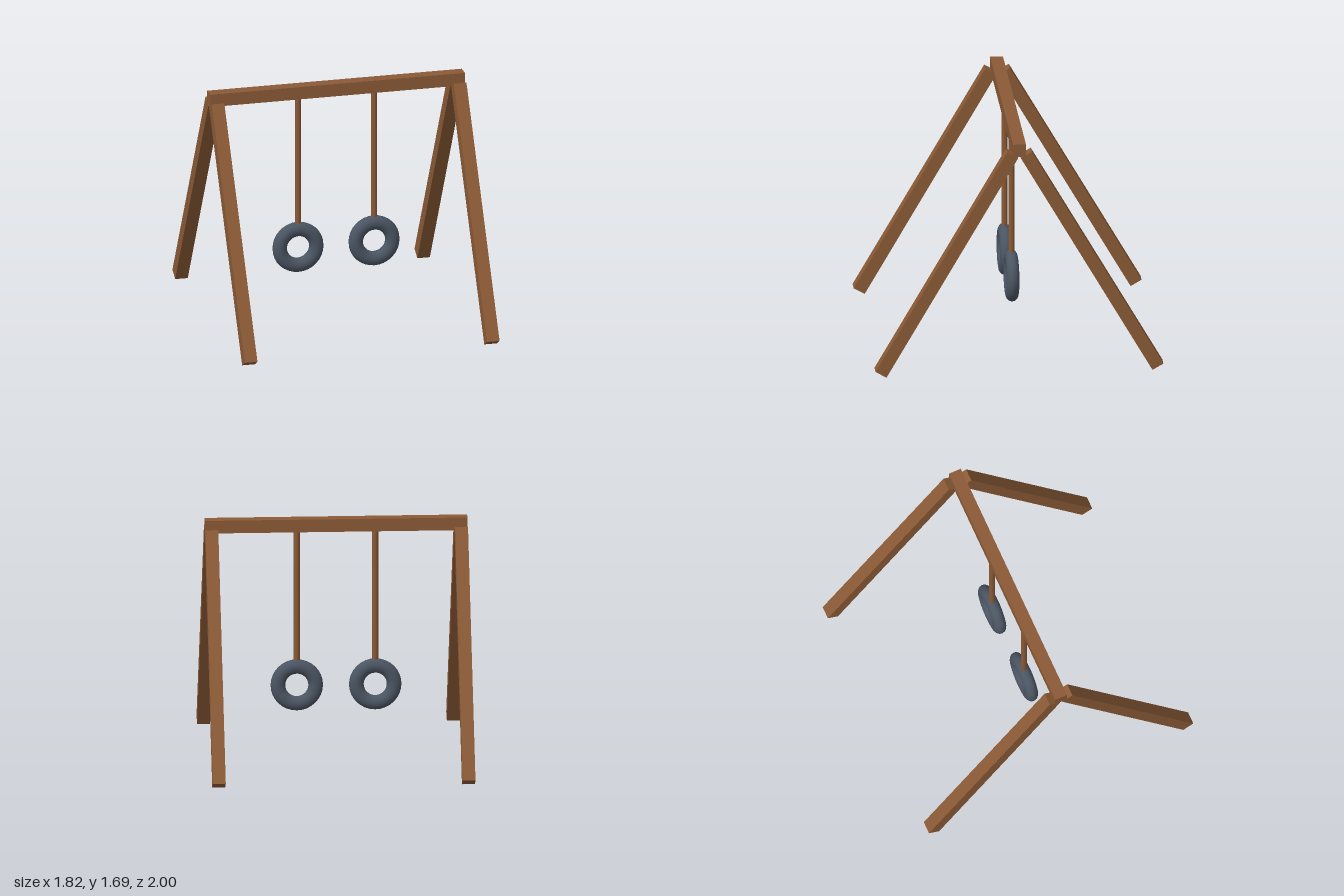
import * as THREE from 'three';

export function createModel() {
  const group = new THREE.Group();
  const wood = new THREE.MeshStandardMaterial({ color: 0x8b5a36 });
  wood.name = 'brown wood';
  const rubber = new THREE.MeshStandardMaterial({ color: 0x4b5563 });
  rubber.name = 'grey rubber';

  const add = (name, geometry, material, x, y, z) => {
    const mesh = new THREE.Mesh(geometry, material);
    mesh.name = name;
    mesh.position.set(x, y, z);
    group.add(mesh);
    return mesh;
  };

  // Horizontal beam across the top
  add('topBeam', new THREE.BoxGeometry(1.822, 0.09, 0.09), wood, 0, 1.64, 0);

  // Four square legs leaning 30 degrees towards the beam
  const legGeometry = new THREE.BoxGeometry(0.09, 1.83, 0.088);
  for (const [side, x] of [['left', 0.866], ['right', -0.866]]) {
    for (const [end, s] of [['Front', 1], ['Back', -1]]) {
      const leg = add(`${side}${end}Leg`, legGeometry, wood, x, 0.814, s * 0.505);
      leg.rotation.x = -s * Math.PI / 6;
    }
  }

  // Two hanging poles, each carrying a slightly flattened tyre
  const poleGeometry = new THREE.CylinderGeometry(0.022, 0.022, 0.93, 8);
  const tyreGeometry = new THREE.TorusGeometry(0.131, 0.051, 16, 32);
  for (const [side, x] of [['left', 0.272], ['right', -0.272]]) {
    add(`${side}Pole`, poleGeometry, wood, x, 1.14, 0);
    add(`${side}Tyre`, tyreGeometry, rubber, x, 0.497, 0).scale.z = 0.87;
  }

  return group;
}
